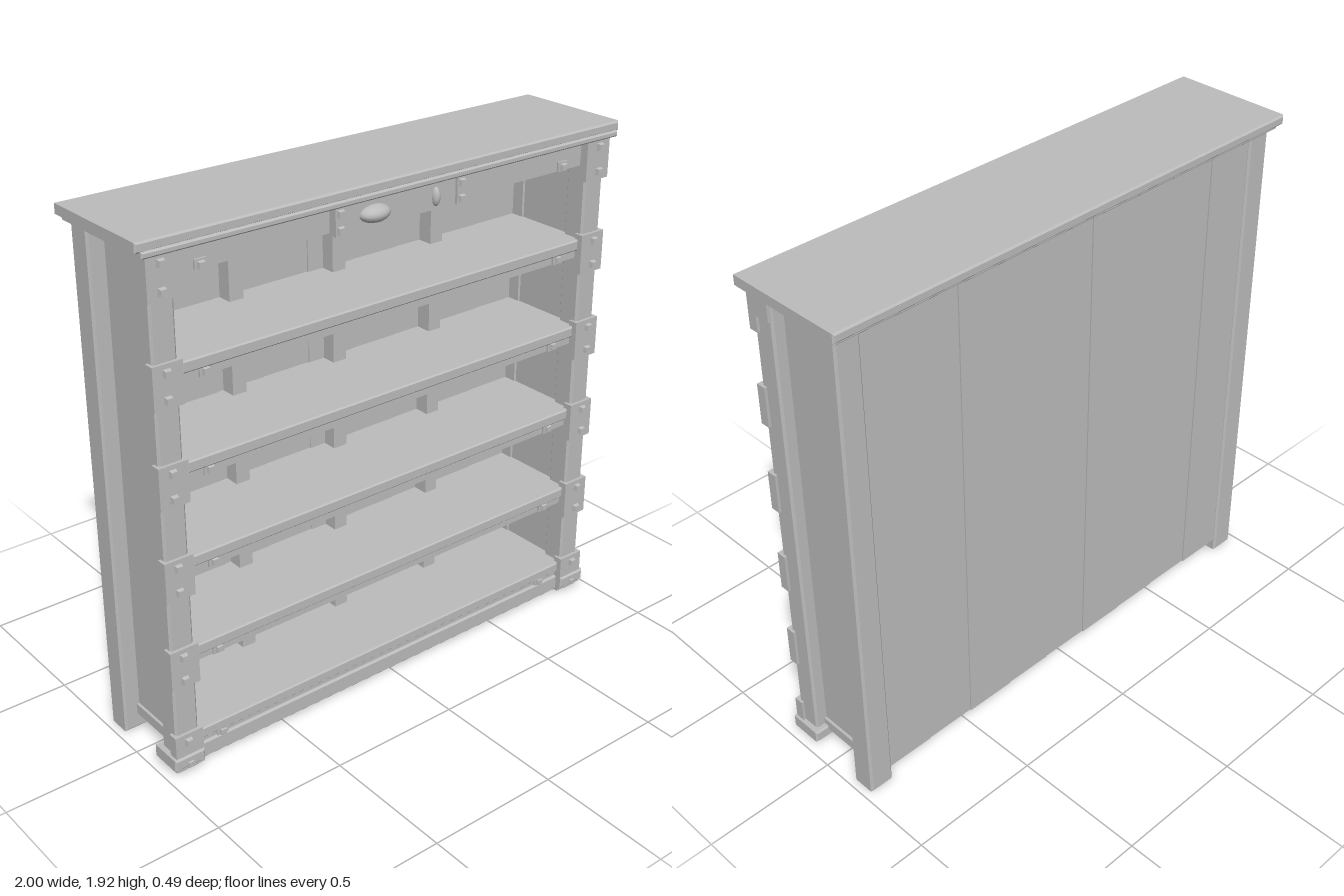
import * as THREE from 'three';

const wood = new THREE.MeshStandardMaterial({ color: 0xbcbcbc });
wood.name = 'plain grey wood';

export function createModel() {
  const model = new THREE.Group();
  model.name = 'bookcase';

  const add = (name, geometry, parent = model) => {
    const mesh = new THREE.Mesh(geometry, wood);
    mesh.name = name;
    parent.add(mesh);
    return mesh;
  };

  // Box given by its limits on each axis
  const box = (name, x0, x1, y0, y1, z0, z1, parent) => {
    const g = new THREE.BoxGeometry(x1 - x0, y1 - y0, z1 - z0);
    g.translate((x0 + x1) / 2, (y0 + y1) / 2, (z0 + z1) / 2);
    return add(name, g, parent);
  };

  // Box with chamfered edges
  const chamferBox = (name, x0, x1, y0, y1, z0, z1, c, parent) => {
    const w = (x1 - x0) / 2, h = (y1 - y0) / 2;
    const s = new THREE.Shape([
      [-w + c, -h + c], [w - c, -h + c], [w - c, h - c], [-w + c, h - c],
    ].map(([x, y]) => new THREE.Vector2(x, y)));
    const g = new THREE.ExtrudeGeometry(s, {
      depth: z1 - z0 - 2 * c, bevelEnabled: true, bevelThickness: c, bevelSize: c, bevelSegments: 1,
    });
    g.translate((x0 + x1) / 2, (y0 + y1) / 2, z0 + c);
    return add(name, g, parent);
  };

  // Square bolt head, slightly tapered
  const bolt = (x, y, z, parent) => {
    const g = new THREE.CylinderGeometry(0.014, 0.019, 0.014, 4).toNonIndexed();
    g.rotateY(Math.PI / 4);
    g.rotateX(Math.PI / 2);
    g.translate(x, y, z + 0.007);
    g.computeVertexNormals();
    add('bolt', g, parent);
  };

  // Top board with a stepped moulding
  chamferBox('topBoard', -1, 1, 1.885, 1.92, -0.25, 0.215, 0.006);
  chamferBox('topMoulding', -0.985, 0.985, 1.868, 1.89, -0.235, 0.225, 0.005);

  // Posts, side panels and brackets, one set on each side
  const shelfTops = [0.14, 0.48, 0.82, 1.16, 1.5];
  for (const side of [-1, 1]) {
    const span = (a, b) => (side > 0 ? [a, b] : [-b, -a]);
    chamferBox('frontPost', ...span(0.865, 0.955), 0, 1.87, 0.105, 0.195, 0.008);
    chamferBox('backPost', ...span(0.875, 0.97), 0, 1.87, -0.21, -0.115, 0.008);
    box('sidePanel', ...span(0.88, 0.91), 0.09, 1.83, -0.12, 0.11);
    box('sideRail', ...span(0.87, 0.92), 0.06, 0.1, -0.12, 0.11);
    chamferBox('footCap', ...span(0.855, 0.975), 0.03, 0.075, 0.085, 0.215, 0.006);
    box('capPlate', ...span(0.86, 0.965), 1.78, 1.868, 0.11, 0.2);
    for (const top of [...shelfTops, 1.85]) {
      const bracket = new THREE.Group();
      bracket.name = 'cornerBracket';
      model.add(bracket);
      const low = Math.max(top - 0.13, 0.02), high = Math.min(top + 0.02, 1.868);
      box('bracketPlate', ...span(0.855, 0.965), low, high, 0.17, 0.207, bracket);
      bolt(side * 0.915, top - 0.01, 0.207, bracket);
      bolt(side * 0.915, top - 0.1, 0.207, bracket);
    }
  }

  // Shelves with a front lip, an under-rail and small bolted tabs
  for (const top of shelfTops) {
    const shelf = new THREE.Group();
    shelf.name = 'shelf';
    model.add(shelf);
    box('shelfBoard', -0.88, 0.88, top - 0.035, top, -0.18, 0.17, shelf);
    chamferBox('shelfLip', -0.85, 0.85, top - 0.038, top + 0.003, 0.15, 0.195, 0.005, shelf);
    box('shelfRail', -0.87, 0.87, top - 0.072, top - 0.035, 0.13, 0.175, shelf);
    for (const x of [-0.76, 0.76]) {
      box('shelfTab', x - 0.022, x + 0.022, top - 0.072, top - 0.038, 0.17, 0.182, shelf);
      bolt(x, top - 0.055, 0.178, shelf);
    }
  }

  // Base rails
  chamferBox('frontBaseRail', -0.87, 0.87, 0.01, 0.075, 0.12, 0.185, 0.006);
  chamferBox('backBaseRail', -0.88, 0.88, 0.005, 0.045, -0.125, -0.07, 0.005);

  // Upper apron with a raised centre plate
  box('apron', -0.87, 0.87, 1.775, 1.87, 0.12, 0.175);
  box('apronTrim', -0.87, 0.87, 1.855, 1.87, 0.17, 0.19);
  box('apronPlate', -0.27, 0.27, 1.77, 1.86, 0.17, 0.2);
  for (const x of [-0.255, 0.255]) {
    box('plateStrap', x - 0.018, x + 0.018, 1.77, 1.865, 0.195, 0.21);
    for (const y of [1.79, 1.845]) bolt(x, y, 0.208);
  }
  for (const x of [-0.76, 0.76]) {
    box('apronTab', x - 0.022, x + 0.022, 1.775, 1.81, 0.17, 0.182);
    bolt(x, 1.79, 0.18);
  }

  // Oval boss and narrow keyhole cover
  const oval = (name, x, rx, ry, rz) => {
    const m = add(name, new THREE.SphereGeometry(1, 20, 10));
    m.scale.set(rx, ry, rz);
    m.position.set(x, 1.815, 0.2);
  };
  oval('ovalBoss', -0.11, 0.06, 0.03, 0.043);
  oval('keyholeCover', 0.15, 0.015, 0.033, 0.018);

  // Back planks, set at slightly different depths
  const edge = 0.88, count = 9, width = (2 * edge) / count;
  for (let i = 0; i < count; i++) {
    const x = -edge + i * width, shift = ((i * 5) % 3) * 0.0025;
    box('backPlank', x, x + width, 0.05, 1.87, -0.2 + shift, -0.175 + shift);
  }

  // Inner battens on the back wall
  for (const x of [-0.435, -0.005, 0.44]) {
    box('batten', x - 0.028, x + 0.028, 0.1, 1.87, -0.18, -0.115);
  }
  return model;
}
